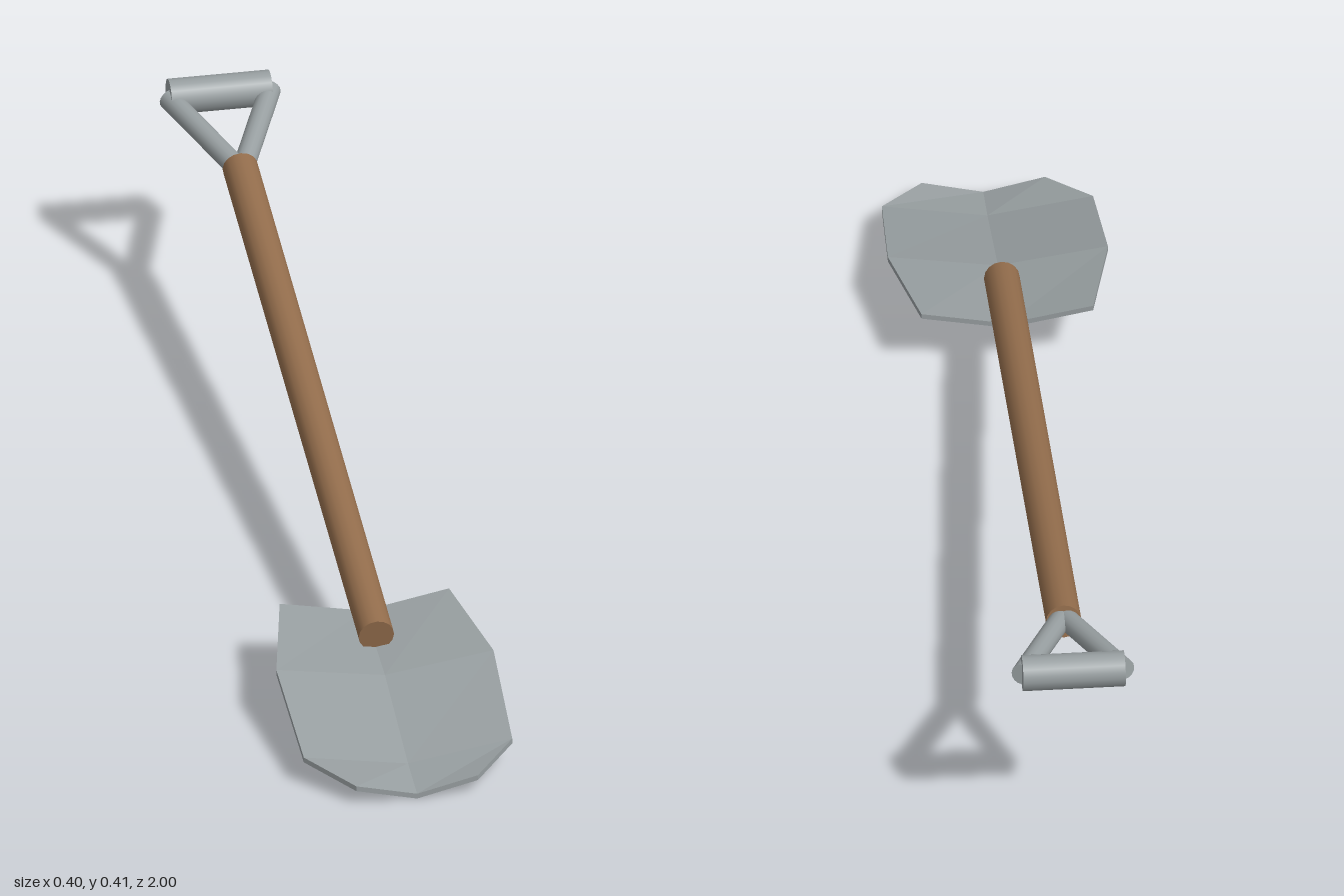
import * as THREE from 'three';

const metal = new THREE.MeshStandardMaterial({ color: 0x979ea0 });
metal.name = 'steel grey';
const wood = new THREE.MeshStandardMaterial({ color: 0x936d4c });
wood.name = 'wood brown';

// Round rod between two points
function rod(name, from, to, radius, material) {
  const a = new THREE.Vector3(...from);
  const b = new THREE.Vector3(...to);
  const dir = b.clone().sub(a);
  const mesh = new THREE.Mesh(new THREE.CylinderGeometry(radius, radius, dir.length(), 16), material);
  mesh.position.copy(a).add(b).multiplyScalar(0.5);
  mesh.quaternion.setFromUnitVectors(new THREE.Vector3(0, 1, 0), dir.normalize());
  mesh.name = name;
  return mesh;
}

// V-shaped blade: a segmented box bent to cross-sections from back to tip
function makeBlade() {
  const sections = [
    { z: 0.475, halfWidth: 0.156, centreY: 0.1, edgeY: 0.13 },
    { z: 0.68, halfWidth: 0.2, centreY: 0.08, edgeY: 0.111 },
    { z: 0.91, halfWidth: 0.192, centreY: 0.024, edgeY: 0.056 },
    { z: 1.0, halfWidth: 0.112, centreY: 0.011, edgeY: 0.038 },
  ];
  const thickness = 0.01;
  const box = new THREE.BoxGeometry(2, 2, 3, 2, 1, 3);
  const pos = box.attributes.position;
  for (let i = 0; i < pos.count; i++) {
    const side = Math.round(pos.getX(i));
    const s = sections[Math.round(pos.getZ(i) + 1.5)];
    const top = side === 0 ? s.centreY : s.edgeY;
    pos.setXYZ(i, side * s.halfWidth, pos.getY(i) > 0 ? top : top - thickness, s.z);
  }
  const geometry = box.toNonIndexed();
  geometry.computeVertexNormals();
  const mesh = new THREE.Mesh(geometry, metal);
  mesh.name = 'blade';
  return mesh;
}

export function createModel() {
  const model = new THREE.Group();
  model.name = 'shovel';

  model.add(makeBlade());
  model.add(rod('shaft', [0, 0.1145, 0.595], [0, 0.3345, -0.76], 0.0325, wood));

  // D-shaped handle: two splayed arms and a cross grip
  const handle = new THREE.Group();
  handle.name = 'handle';
  for (const side of [-1, 1]) {
    handle.add(rod(side > 0 ? 'leftArm' : 'rightArm',
      [side * 0.003, 0.335, -0.75], [side * 0.093, 0.372, -0.966], 0.02, metal));
  }
  handle.add(rod('grip', [-0.093, 0.3755, -0.967], [0.093, 0.3755, -0.967], 0.033, metal));
  model.add(handle);

  return model;
}
